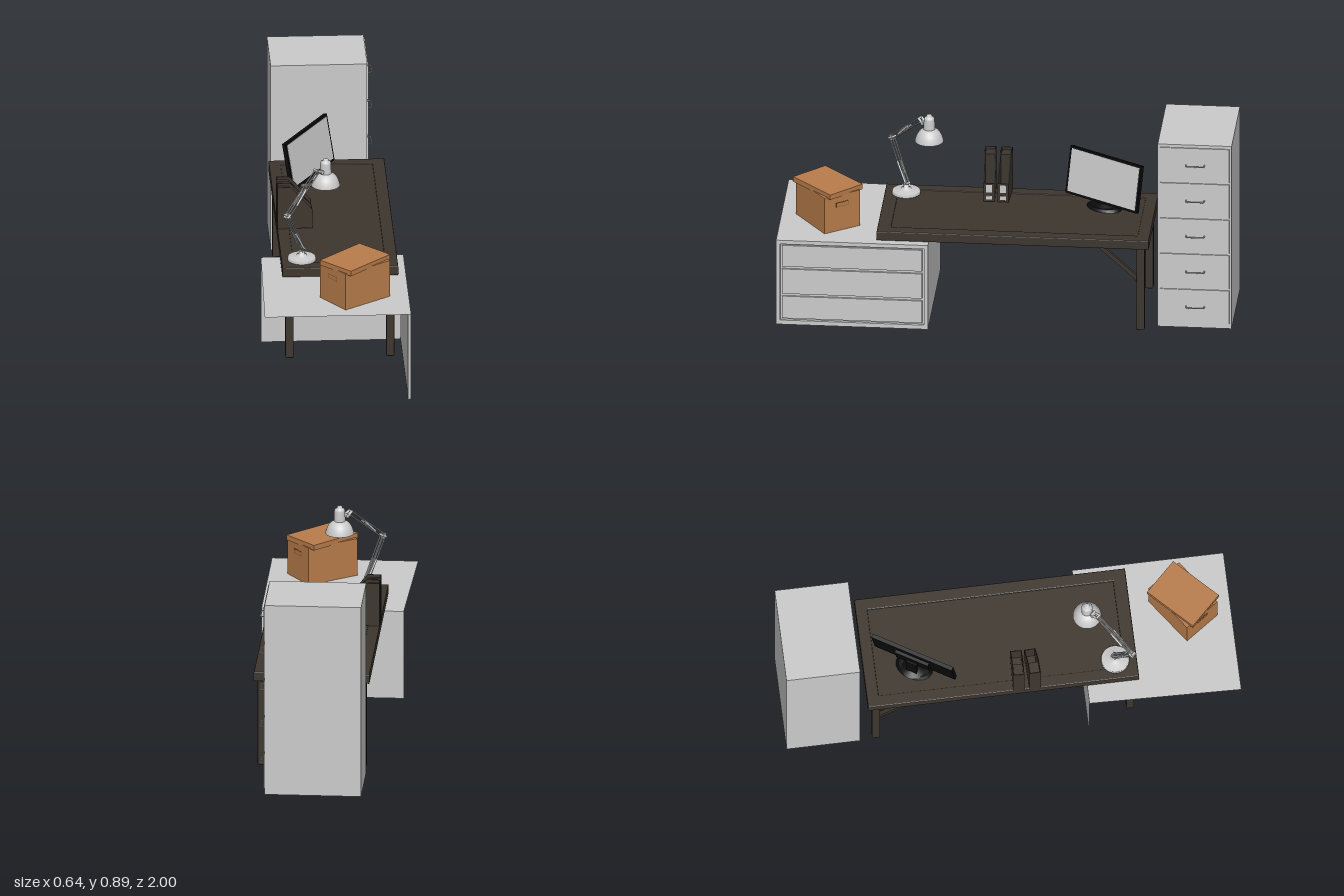
import * as THREE from 'three';
import { RoundedBoxGeometry } from 'three/addons/geometries/RoundedBoxGeometry.js';

const mat = (name, color, side = THREE.FrontSide) => {
  const m = new THREE.MeshStandardMaterial({ color, side });
  m.name = name;
  return m;
};

export function createModel() {
  const grey = mat('light grey', 0xcbcbcb, THREE.DoubleSide);
  const wood = mat('dark wood', 0x3d362e, THREE.DoubleSide);
  const card = mat('cardboard', 0xb97d4b);
  const cardDark = mat('shaded cardboard', 0x875a35);
  const black = mat('black plastic', 0x0b0b0b);

  const root = new THREE.Group();
  root.name = 'workstation';

  const group = (name, parent = root) => {
    const g = new THREE.Group();
    g.name = name;
    parent.add(g);
    return g;
  };
  const add = (parent, name, geo, m, x = 0, y = 0, z = 0) => {
    const mesh = new THREE.Mesh(geo, m);
    mesh.name = name;
    mesh.position.set(x, y, z);
    parent.add(mesh);
    return mesh;
  };
  // Box given by its limits on each axis
  const box = (parent, name, m, [x0, x1], [y0, y1], [z0, z1], r = 0) => {
    const s = [x1 - x0, y1 - y0, z1 - z0];
    const geo = r ? new RoundedBoxGeometry(...s, 2, r) : new THREE.BoxGeometry(...s);
    return add(parent, name, geo, m, (x0 + x1) / 2, (y0 + y1) / 2, (z0 + z1) / 2);
  };
  // Bar between two points: round with radius r, or square when sides = 4
  const bar = (parent, name, m, a, b, r, sides = 10) => {
    const p = new THREE.Vector3(...a), q = new THREE.Vector3(...b);
    const d = q.clone().sub(p);
    const geo = new THREE.CylinderGeometry(r, r, d.length(), sides);
    if (sides === 4) geo.rotateY(Math.PI / 4);
    const mesh = add(parent, name, sides === 4 ? geo.toNonIndexed() : geo, m);
    if (sides === 4) mesh.geometry.computeVertexNormals();
    mesh.position.copy(p.add(q).multiplyScalar(0.5));
    mesh.quaternion.setFromUnitVectors(new THREE.Vector3(0, 1, 0), d.normalize());
    return mesh;
  };
  // Flat four-cornered sheet
  const sheet = (parent, name, m, pts) => {
    const geo = new THREE.BufferGeometry();
    geo.setAttribute('position', new THREE.Float32BufferAttribute(pts.flat(), 3));
    geo.setIndex([0, 1, 2, 0, 2, 3]);
    geo.computeVertexNormals();
    return add(parent, name, geo, m);
  };
  const rect = (S, x0, y0, x1, y1) => {
    const s = new S();
    s.moveTo(x0, y0); s.lineTo(x1, y0); s.lineTo(x1, y1); s.lineTo(x0, y1); s.closePath();
    return s;
  };

  // Low drawer unit, open towards the walls and floor
  const low = group('lowCabinet');
  sheet(low, 'lowCabinetTop', grey,
    [[-0.322, 0.405, 1], [0.322, 0.405, 1], [0.322, 0.405, 0.33], [-0.305, 0.405, 0.33]]);
  sheet(low, 'lowCabinetEnd', grey,
    [[0.322, 0, 0.33], [-0.305, 0, 0.33], [-0.305, 0.405, 0.33], [0.322, 0.405, 0.33]]);
  const face = rect(THREE.Shape, -1, 0, -0.33, 0.405);
  face.holes.push(rect(THREE.Path, -0.982, 0.02, -0.348, 0.387));
  const frame = add(low, 'drawerFrame',
    new THREE.ExtrudeGeometry(face, { depth: 0.014, bevelEnabled: false }), grey, 0.308);
  frame.rotation.y = Math.PI / 2;
  box(low, 'drawerRecess', grey, [0.307, 0.309], [0.02, 0.387], [0.348, 0.982]);
  for (const [y0, y1] of [[0.028, 0.134], [0.146, 0.265], [0.277, 0.379]])
    box(low, 'lowDrawer', grey, [0.309, 0.318], [y0, y1], [0.356, 0.974]);

  // Tall cabinet with five handled drawers
  const tall = group('tallCabinet');
  box(tall, 'tallCabinetBody', grey, [-0.21, 0.215], [0.007, 0.887], [-1, -0.674]);
  for (let i = 0; i < 5; i++) {
    const y = 0.111 + i * 0.1705;
    box(tall, 'tallDrawer', grey, [0.215, 0.22], [y - 0.08, y + 0.08], [-0.99, -0.684]);
    const path = new THREE.CatmullRomCurve3([[0.219, -0.88], [0.236, -0.88], [0.241, -0.873],
      [0.241, -0.807], [0.236, -0.8], [0.219, -0.8]].map(([x, z]) => new THREE.Vector3(x, y, z)),
      false, 'catmullrom', 0.1);
    add(tall, 'drawerHandle', new THREE.TubeGeometry(path, 24, 0.0028, 6), grey);
  }

  // Desk top: raised border around a sunken panel
  const desk = group('desk');
  const border = rect(THREE.Shape, -0.217, -0.555, 0.283, 0.635);
  border.holes.push(rect(THREE.Path, -0.174, -0.505, 0.238, 0.592));
  const borderGeo = new THREE.ExtrudeGeometry(border,
    { depth: 0.035, bevelThickness: 0.005, bevelSize: 0.005, bevelSegments: 2 });
  borderGeo.rotateX(-Math.PI / 2);
  add(desk, 'deskBorder', borderGeo, wood, 0, 0.41, 0);
  box(desk, 'deskPanel', wood, [-0.175, 0.239], [0.412, 0.446], [-0.593, 0.506]);

  // Legs with diagonal braces and bolts
  for (const sx of [-1, 1]) for (const sz of [-1, 1]) {
    const x = 0.0325 + sx * 0.2215, z = -0.04 + sz * 0.5625;
    box(desk, 'deskLeg', wood, [x - 0.018, x + 0.018], [0.01, 0.41], [z - 0.018, z + 0.018], 0.005);
    bar(desk, 'sideBrace', wood, [x - sx * 0.01, 0.308, z], [x - sx * 0.115, 0.41, z], 0.013, 4);
    bar(desk, 'lengthBrace', wood, [x, 0.25, z - sz * 0.01], [x, 0.41, z - sz * 0.185], 0.013, 4);
    for (const [dx, y] of [[0.021, 0.385], [0.021, 0.295], [0.075, 0.4], [0.122, 0.4]])
      add(desk, 'bolt', new THREE.SphereGeometry(0.007, 8, 6), wood, x - sx * dx, y, z);
    for (const [dz, y] of [[0.021, 0.245], [0.19, 0.4]])
      add(desk, 'bolt', new THREE.SphereGeometry(0.007, 8, 6), wood, x, y, z - sz * dz);
  }

  // Monitor, turned and leaning back on its foot
  const monitor = group('monitor');
  monitor.position.set(-0.055, 0.45, -0.415);
  monitor.rotation.y = 1.03;
  const foot = add(monitor, 'monitorFoot', new THREE.CylinderGeometry(0.85, 1, 0.012, 24), black, 0, 0.006, 0);
  foot.scale.set(0.085, 1, 0.06);
  add(monitor, 'footCone', new THREE.CylinderGeometry(0.025, 0.055, 0.014, 20), black, 0, 0.018, -0.01);
  box(monitor, 'monitorNeck', black, [-0.025, 0.025], [0.01, 0.12], [-0.035, -0.02]);
  const head = group('monitorHead', monitor);
  head.position.y = 0.133;
  head.rotation.x = -0.18;
  box(head, 'monitorCase', black, [-0.193, 0.193], [-0.108, 0.108], [-0.012, 0.006]);
  box(head, 'monitorBack', black, [-0.08, 0.08], [-0.06, 0.05], [-0.026, -0.011]);
  box(head, 'monitorScreen', grey, [-0.183, 0.183], [-0.097, 0.099], [0.005, 0.0075]);

  // Two open file holders with label plates
  for (const [z, turn] of [[0.03, -0.04], [0.097, 0.04]]) {
    const file = group('fileHolder');
    file.position.set(-0.145, 0.45, z);
    file.rotation.y = turn;
    const side = new THREE.Shape([[-0.077, 0], [0.077, 0], [0.077, 0.088], [-0.018, 0.198], [-0.077, 0.198]]
      .map(p => new THREE.Vector2(...p)));
    for (const dz of [-0.025, 0.022])
      add(file, 'holderSide',
        new THREE.ExtrudeGeometry(side, { depth: 0.003, bevelEnabled: false }), wood, 0, 0, dz);
    box(file, 'holderBack', wood, [-0.077, -0.074], [0, 0.198], [-0.024, 0.024]);
    box(file, 'holderFront', wood, [0.074, 0.077], [0, 0.088], [-0.024, 0.024]);
    box(file, 'holderFloor', wood, [-0.075, 0.075], [0, 0.003], [-0.024, 0.024]);
    box(file, 'papers', wood, [-0.073, -0.022], [0.003, 0.185], [-0.021, 0.021]);
    box(file, 'label', grey, [0.077, 0.079], [0.045, 0.08], [-0.013, 0.013]);
    box(file, 'lowerLabel', grey, [0.077, 0.079], [0.01, 0.028], [-0.013, 0.013]);
  }

  // Cardboard carton with a loosely placed lid
  const carton = group('carton');
  carton.position.set(0.086, 0.405, 0.792);
  carton.rotation.y = 0.617;
  box(carton, 'cartonBody', card, [-0.125, 0.125], [0.001, 0.172], [-0.09, 0.09]);
  for (const s of [-1, 1]) {
    box(carton, 'gripFlap', cardDark, [s * 0.1255 - 0.001, s * 0.1255 + 0.001], [0.116, 0.137], [-0.031, 0.031]);
    box(carton, 'gripFill', card, [s * 0.126 - 0.001, s * 0.126 + 0.001], [0.119, 0.134], [-0.028, 0.028]);
  }
  const lid = box(carton, 'cartonLid', card, [-0.128, 0.128], [0.166, 0.19], [-0.092, 0.092]);
  lid.rotation.y = 0.16;

  // Articulated lamp; local x runs along the reach of the arms
  const lamp = group('lamp');
  lamp.position.set(-0.132, 0.45, 0.465);
  lamp.rotation.y = Math.PI / 4;
  const lathe = (name, pts, x, y) => add(lamp, name,
    new THREE.LatheGeometry(pts.map(p => new THREE.Vector2(...p)), 32), grey, x, y, 0);
  lathe('lampBase', [[0, 0], [0.063, 0], [0.063, 0], [0.063, 0.01], [0.06, 0.014], [0.025, 0.016], [0.022, 0.024],
    [0.013, 0.026], [0.012, 0.04], [0, 0.04]], 0, 0);
  const arm = (name, a, b, springFrom, springTo) => {
    const g = group(name, lamp);
    const dx = b[0] - a[0], dy = b[1] - a[1], l = Math.hypot(dx, dy);
    const nx = -dy / l, ny = dx / l;
    const at = (t, o, z) => [a[0] + dx * t + nx * o, a[1] + dy * t + ny * o, z];
    for (const o of [-0.009, 0.009]) for (const z of [-0.006, 0.006])
      bar(g, 'armRod', grey, at(0, o, z), at(1, o, z), 0.0028, 8);
    for (const z of [-0.01, 0.01])
      bar(g, 'spring', grey, at(springFrom, -0.004, z), at(springTo, 0.004, z), 0.0048, 10);
    for (const t of [0, 1]) for (const o of [-0.009, 0.009])
      bar(g, 'pivot', grey, at(t, o, -0.011), at(t, o, 0.011), 0.005, 12);
  };
  const elbow = [-0.095, 0.236];
  arm('lowerArm', [0.004, 0.045], elbow, 0.02, 0.5);
  arm('upperArm', elbow, [0.1, 0.388], 0.25, 0.6);
  for (const z of [-0.009, 0.009]) {
    bar(lamp, 'elbowLink', grey, [-0.106, 0.23, z], [-0.084, 0.242, z], 0.006, 8);
    bar(lamp, 'headBracket', grey, [0.092, 0.395, z], [0.128, 0.376, z], 0.006, 8);
  }
  bar(lamp, 'headPivot', grey, [0.122, 0.379, -0.014], [0.122, 0.379, 0.014], 0.009, 14);
  bar(lamp, 'headStem', grey, [0.12, 0.379, 0], [0.157, 0.375, 0], 0.006, 10);
  lathe('lampShade', [[0.063, 0.305], [0.062, 0.312], [0.057, 0.328], [0.05, 0.342],
    [0.04, 0.354], [0.029, 0.361], [0.024, 0.363]], 0.157, 0);
  lathe('lampSocket', [[0, 0.36], [0.025, 0.36], [0.025, 0.36], [0.024, 0.408], [0.021, 0.418], [0.012, 0.421],
    [0.012, 0.427], [0.009, 0.431], [0, 0.431]], 0.157, 0);
  add(lamp, 'bulb', new THREE.SphereGeometry(0.02, 16, 12), grey, 0.157, 0.338, 0);

  return root;
}
